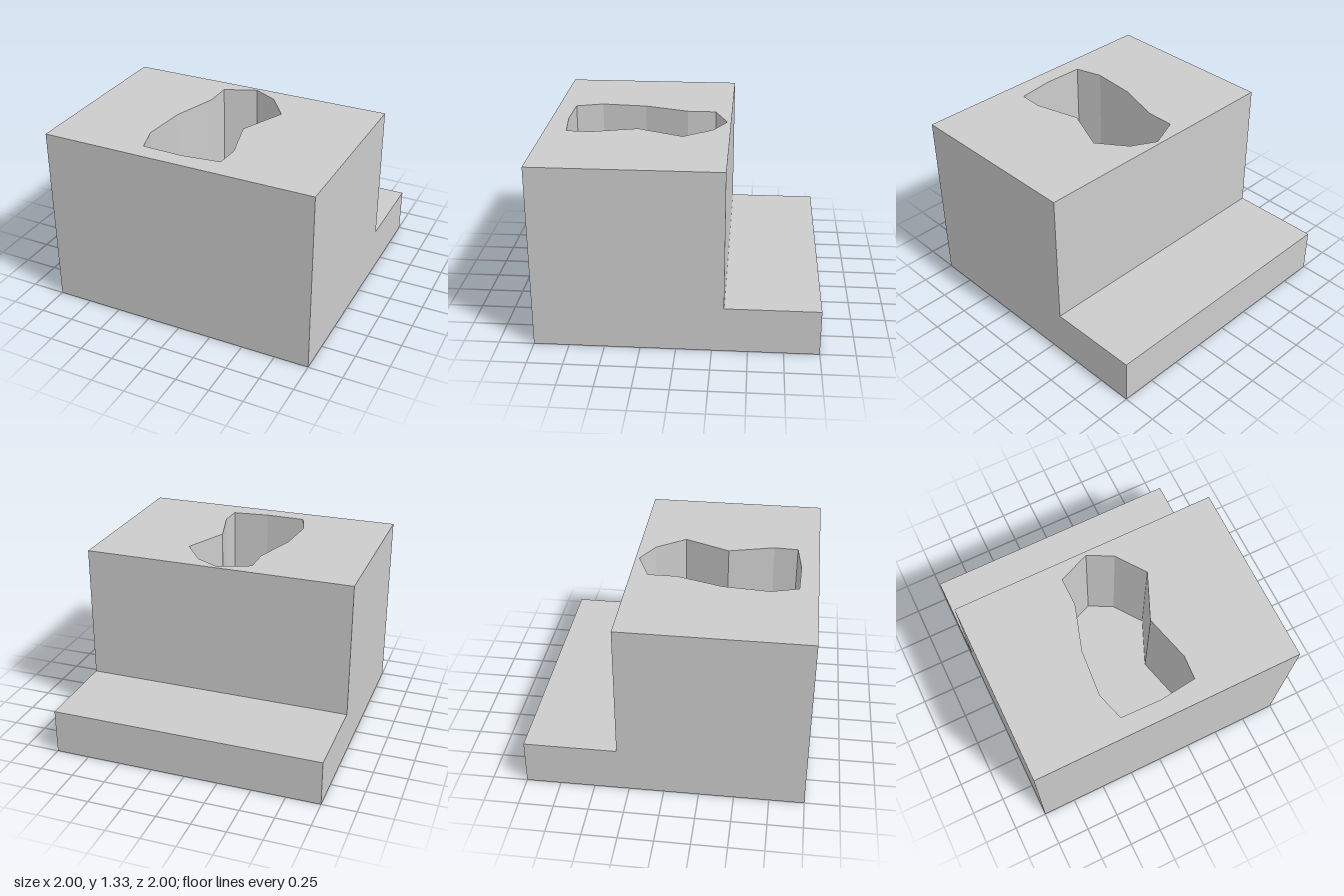
import * as THREE from 'three';

const TOP = 1.333, STEP = 0.333, BACK = -0.333;

// Pocket outline as [x, z], clockwise seen from above
const OUTLINE = [
  [0, -0.305], [0.18, -0.21], [0.333, 0], [0.19, 0.333], [0.28, 0.667], [0.27, 0.84],
  [0, 0.872], [-0.30, 0.865], [-0.36, 0.667], [-0.333, 0.333], [-0.23, 0], [-0.23, -0.21],
].map(([x, z]) => new THREE.Vector2(x, -z));

const material = new THREE.MeshStandardMaterial({ color: 0xcccccc, flatShading: true });

function part(name, geometry) {
  const mesh = new THREE.Mesh(geometry, material);
  mesh.name = name;
  return mesh;
}

function fromPositions(positions) {
  const geometry = new THREE.BufferGeometry();
  geometry.setAttribute('position', new THREE.Float32BufferAttribute(positions, 3));
  geometry.computeVertexNormals();
  return geometry;
}

// Horizontal face looking up at height y
function flatFace(shape, y) {
  return new THREE.ShapeGeometry(shape).rotateX(-Math.PI / 2).translate(0, y, 0);
}

// Stepped side profile extruded across the width, left open at the top
function steppedShell() {
  const profile = new THREE.Shape([
    [-1, 0], [1, 0], [1, TOP], [BACK, TOP], [BACK, STEP], [-1, STEP],
  ].map(([z, y]) => new THREE.Vector2(z, y)));
  const solid = new THREE.ExtrudeGeometry(profile, { depth: 2, bevelEnabled: false })
    .rotateY(-Math.PI / 2).translate(1, 0, 0).toNonIndexed();
  const p = solid.attributes.position;
  const kept = [];
  for (let i = 0; i < p.count; i += 3) {
    const onTop = [0, 1, 2].every((k) => p.getY(i + k) > TOP - 0.001);
    if (!onTop) kept.push(...p.array.slice(i * 3, i * 3 + 9));
  }
  return fromPositions(kept);
}

// Vertical walls of the pocket, facing inward
function pocketWalls() {
  const positions = [];
  OUTLINE.forEach((a, i) => {
    const b = OUTLINE[(i + 1) % OUTLINE.length];
    const corner = (v, y) => [v.x, y, -v.y];
    positions.push(
      ...corner(a, TOP), ...corner(a, STEP), ...corner(b, STEP),
      ...corner(a, TOP), ...corner(b, STEP), ...corner(b, TOP));
  });
  return fromPositions(positions);
}

export function createModel() {
  const group = new THREE.Group();
  group.name = 'steppedBlock';

  // Top face pierced by the pocket outline
  const top = new THREE.Shape([[-1, -1], [1, -1], [1, -BACK], [-1, -BACK]]
    .map(([x, y]) => new THREE.Vector2(x, y)));
  top.holes.push(new THREE.Path(OUTLINE));

  group.add(
    part('steppedBody', steppedShell()),
    part('topFace', flatFace(top, TOP)),
    part('pocketWalls', pocketWalls()),
    part('pocketFloor', flatFace(new THREE.Shape(OUTLINE), STEP)),
  );
  return group;
}
